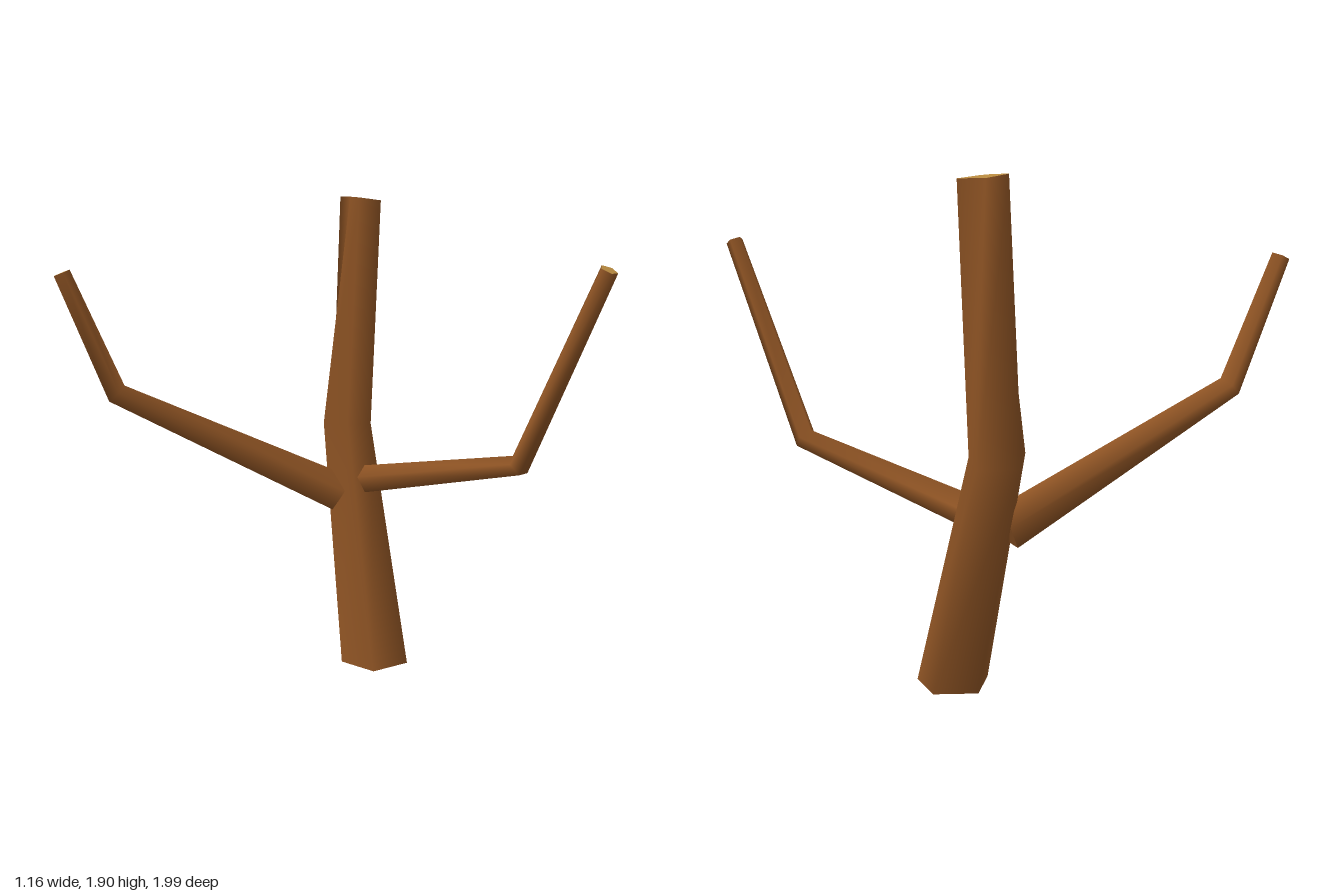
import * as THREE from 'three';

const bark = new THREE.MeshStandardMaterial({ color: 0x8f5424 });
bark.name = 'bark brown';
const cutWood = new THREE.MeshStandardMaterial({ color: 0xb98b40 });
cutWood.name = 'cut wood tan';
const SIDES = 5;

// Flat polygon closing one end of a limb
function endCap(name, ring, material, flip) {
  const pts = flip ? [...ring].reverse() : ring;
  const geo = new THREE.BufferGeometry().setFromPoints(pts);
  const index = [];
  for (let i = 1; i < pts.length - 1; i++) index.push(0, i, i + 1);
  geo.setIndex(index);
  geo.computeVertexNormals();
  const mesh = new THREE.Mesh(geo, material);
  mesh.name = name;
  return mesh;
}

// Smooth skin over successive rings, plus a bark base and a cut-wood tip
function limb(name, rings) {
  const geo = new THREE.BufferGeometry().setFromPoints(rings.flat());
  const index = [];
  for (let k = 0; k < rings.length - 1; k++) {
    for (let i = 0; i < SIDES; i++) {
      const j = (i + 1) % SIDES;
      const a = k * SIDES + i, b = k * SIDES + j;
      index.push(a, b, b + SIDES, a, b + SIDES, a + SIDES);
    }
  }
  geo.setIndex(index);
  geo.computeVertexNormals();
  const skin = new THREE.Mesh(geo, bark);
  skin.name = name + 'Bark';
  const group = new THREE.Group();
  group.name = name;
  group.add(
    skin,
    endCap(name + 'Base', rings[0], bark, true),
    endCap(name + 'CutEnd', rings[rings.length - 1], cutWood, false)
  );
  return group;
}

// Pentagonal rings square to a bent path; each stop is [x, y, z, radius]
function ringsAlong(stops) {
  const pts = stops.map(([x, y, z]) => new THREE.Vector3(x, y, z));
  const dir = (i) => pts[i + 1].clone().sub(pts[i]).normalize();
  return stops.map((stop, k) => {
    const t = new THREE.Vector3();
    if (k > 0) t.add(dir(k - 1));
    if (k < pts.length - 1) t.add(dir(k));
    t.normalize();
    const up = new THREE.Vector3(0, 1, 0).addScaledVector(t, -t.y).normalize();
    const side = up.clone().cross(t);
    return Array.from({ length: SIDES }, (_, i) => {
      const a = Math.PI / 2 + (i * 2 * Math.PI) / SIDES;
      return pts[k].clone()
        .addScaledVector(side, Math.cos(a) * stop[3])
        .addScaledVector(up, Math.sin(a) * stop[3]);
    });
  });
}

export function createModel() {
  const tree = new THREE.Group();
  tree.name = 'bareTree';

  // Leaning trunk: foot, bend and sawn top
  const trunkRings = [
    [[0.41, 0, -0.02], [0.315, 0, -0.16], [0.15, 0, -0.1], [0.15, 0, 0.07], [0.315, 0, 0.115]],
    [[0.574, 0.92, -0.312], [0.479, 0.92, -0.434], [0.36, 0.95, -0.38], [0.365, 0.96, -0.25], [0.5, 0.945, -0.235]],
    [[0.535, 1.885, -0.325], [0.448, 1.9, -0.362], [0.425, 1.9, -0.29], [0.41, 1.897, -0.23], [0.522, 1.885, -0.205]],
  ].map((ring) => ring.map((p) => new THREE.Vector3(...p)));
  tree.add(limb('trunk', trunkRings));

  // Elbowed side branches
  tree.add(limb('backBranch', ringsAlong([
    [0.34, 0.66, -0.285, 0.085], [-0.4, 1.12, -0.83, 0.048], [-0.547, 1.605, -0.96, 0.036],
  ])));
  tree.add(limb('frontBranch', ringsAlong([
    [0.4, 0.72, -0.19, 0.062], [0.352, 0.9, 0.605, 0.045], [0.314, 1.652, 0.97, 0.034],
  ])));
  return tree;
}
